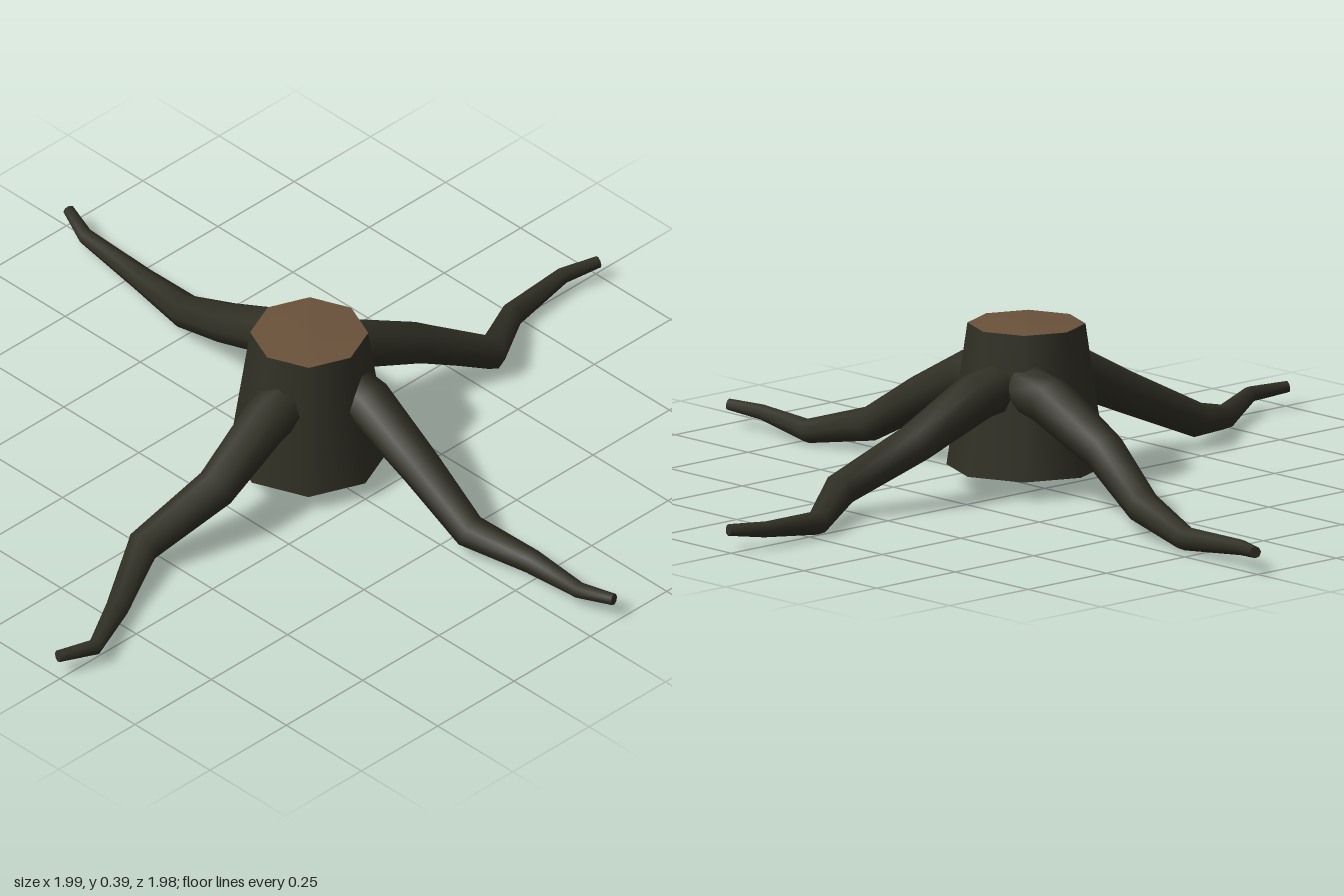
import * as THREE from 'three';

const bark = new THREE.MeshStandardMaterial({ color: 0x313025 });
bark.name = 'dark bark';
const wood = new THREE.MeshStandardMaterial({ color: 0x6b523b });
wood.name = 'cut wood';

const SIDES = 8;
const STUMP_Z = 0.063;

// Tapered limb: one ring per [x, y, z, radius], closed at both ends
function limbGeometry(path) {
  const points = path.map(([x, y, z]) => new THREE.Vector3(x, y, z));
  const up = new THREE.Vector3(0, 1, 0);
  const last = path.length - 1;
  const positions = [];
  const index = [];

  points.forEach((p, i) => {
    const back = p.clone().sub(points[Math.max(i - 1, 0)]).normalize();
    const ahead = points[Math.min(i + 1, last)].clone().sub(p).normalize();
    const t = back.add(ahead).normalize();
    const side = up.clone().cross(t).normalize();
    const top = t.clone().cross(side);
    for (let j = 0; j < SIDES; j++) {
      const a = (j / SIDES) * Math.PI * 2;
      const v = p.clone()
        .addScaledVector(side, Math.cos(a) * path[i][3])
        .addScaledVector(top, Math.sin(a) * path[i][3]);
      positions.push(v.x, v.y, v.z);
    }
  });

  for (let i = 0; i < last; i++) {
    for (let j = 0; j < SIDES; j++) {
      const k = (j + 1) % SIDES;
      const a = i * SIDES + j, b = i * SIDES + k;
      index.push(a, b, a + SIDES, b, b + SIDES, a + SIDES);
    }
  }

  // End caps use their own copy of the ring so the edge stays sharp
  for (const ring of [0, last]) {
    const base = positions.length / 3;
    positions.push(...positions.slice(ring * SIDES * 3, (ring + 1) * SIDES * 3));
    positions.push(...points[ring].toArray());
    for (let j = 0; j < SIDES; j++) {
      const a = base + j, b = base + (j + 1) % SIDES;
      index.push(base + SIDES, ...(ring === 0 ? [b, a] : [a, b]));
    }
  }

  const geometry = new THREE.BufferGeometry();
  geometry.setAttribute('position', new THREE.Float32BufferAttribute(positions, 3));
  geometry.setIndex(index);
  geometry.computeVertexNormals();
  return geometry;
}

// All roots share the same drop and taper; only their plan differs
const HEIGHTS = [0.265, 0.25, 0.165, 0.073, 0.038, 0.052, 0.06];
const RADII = [0.06, 0.06, 0.05, 0.041, 0.029, 0.019, 0.014];

const ROOT_PLANS = {
  leftRoot: [[0.09, 0.035], [0.19, 0.035], [0.37, 0.05], [0.55, 0.11], [0.72, 0.005], [0.9, -0.008], [0.99, 0.02]],
  rightRoot: [[-0.09, 0.09], [-0.18, 0.1], [-0.365, 0.123], [-0.56, 0.078], [-0.73, 0.17], [-0.895, 0.26], [-0.99, 0.233]],
  frontRoot: [[0.04, 0.13], [0.043, 0.22], [0.034, 0.4], [0.027, 0.57], [0.08, 0.725], [0.067, 0.895], [0.092, 0.985]],
  backRoot: [[0.075, -0.02], [0.09, -0.12], [0.105, -0.32], [0.155, -0.505], [0.203, -0.7], [0.213, -0.9], [0.248, -0.99]],
};

export function createModel() {
  const model = new THREE.Group();
  model.name = 'treeStump';

  function add(name, geometry, material, y = 0, z = 0) {
    const mesh = new THREE.Mesh(geometry, material);
    mesh.name = name;
    mesh.position.set(0, y, z);
    model.add(mesh);
  }

  // Trunk, open at the top where the cut face sits
  add('trunk', new THREE.CylinderGeometry(0.138, 0.187, 0.34, SIDES, 1, true), bark, 0.225, STUMP_Z);
  add('trunkBase', new THREE.CircleGeometry(0.187, SIDES).rotateX(Math.PI / 2), bark, 0.055, STUMP_Z);

  // Cut face, very slightly domed
  add('cutFace', new THREE.ConeGeometry(0.138, 0.006, SIDES, 1, true), wood, 0.398, STUMP_Z);

  // Roots
  for (const [name, plan] of Object.entries(ROOT_PLANS)) {
    const path = plan.map(([x, z], i) => [x, HEIGHTS[i], z, RADII[i]]);
    add(name, limbGeometry(path), bark);
  }

  return model;
}
